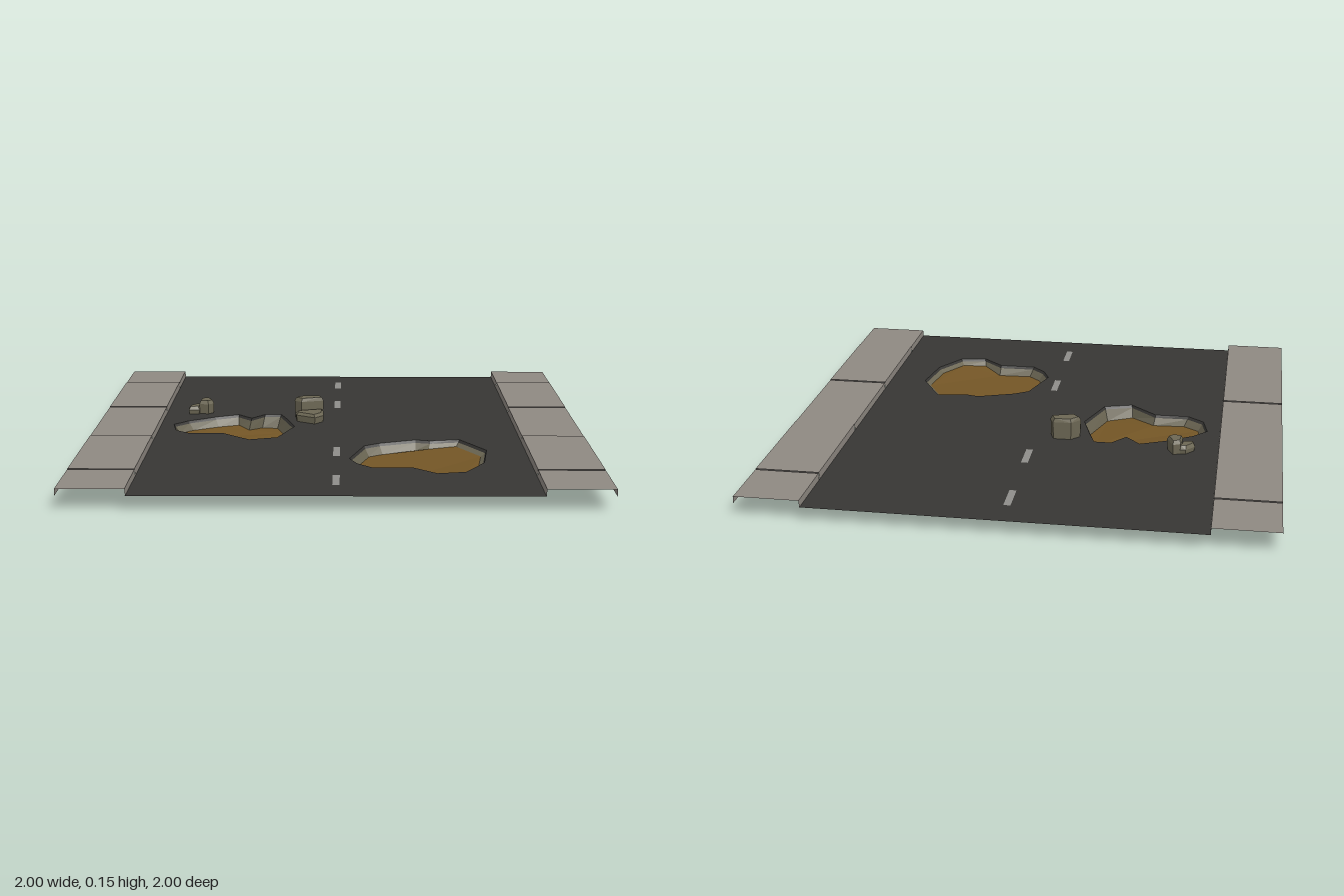
import * as THREE from 'three';
import { ConvexGeometry } from 'three/addons/geometries/ConvexGeometry.js';

const ROAD_Y = 0.062, LIP_Y = 0.051;

const mat = (color) => new THREE.MeshStandardMaterial({
  color, flatShading: true, side: THREE.DoubleSide, roughness: 1,
});

function add(parent, name, geometry, material) {
  const mesh = new THREE.Mesh(geometry, material);
  mesh.name = name;
  parent.add(mesh);
  return mesh;
}

// outline points are [x, z]; shapes are drawn in x and -z, then laid flat
const toVec = (pts) => pts.map(([x, z]) => new THREE.Vector2(x, -z));

// strip of faces between rows of [x, y, z] points
function strip(rows, closed) {
  const n = rows[0].length, index = [];
  for (let r = 0; r < rows.length - 1; r++) {
    for (let i = 0; i < (closed ? n : n - 1); i++) {
      const j = (i + 1) % n, a = r * n + i, b = r * n + j;
      index.push(a, a + n, b, b, a + n, b + n);
    }
  }
  const g = new THREE.BufferGeometry();
  g.setAttribute('position', new THREE.Float32BufferAttribute(rows.flat(2), 3));
  g.setIndex(index);
  g.computeVertexNormals();
  return g;
}

// outline pulled in towards its middle by a distance d
function inset(pts, d) {
  const cx = pts.reduce((s, p) => s + p[0], 0) / pts.length;
  const cz = pts.reduce((s, p) => s + p[1], 0) / pts.length;
  return pts.map(([x, z]) => {
    const k = 1 - d / Math.hypot(x - cx, z - cz);
    return [cx + (x - cx) * k, cz + (z - cz) * k];
  });
}

const HOLES = [
  {
    name: 'leftLanePothole',
    pts: [[-0.695, -0.04], [-0.64, -0.1], [-0.53, -0.17], [-0.43, -0.215], [-0.37, -0.15],
      [-0.315, -0.22], [-0.245, -0.22], [-0.215, -0.13], [-0.18, -0.01], [-0.245, 0.175],
      [-0.36, 0.21], [-0.47, 0.11], [-0.61, 0.11], [-0.675, 0.06]],
    floorY: (x) => 0.022 - 0.019 * THREE.MathUtils.smoothstep(x, -0.46, -0.28),
  },
  {
    name: 'rightLanePothole',
    pts: [[0.05, 0.5], [0.11, 0.31], [0.17, 0.27], [0.32, 0.215], [0.38, 0.23], [0.5, 0.21],
      [0.595, 0.375], [0.57, 0.555], [0.49, 0.685], [0.38, 0.705], [0.29, 0.625],
      [0.135, 0.625], [0.08, 0.57]],
    floorY: (x) => 0.02 + 0.018 * THREE.MathUtils.smoothstep(x, 0.28, 0.42),
  },
];

// broken chunk: flat outline raised from y0 to a smaller top
function chunk(pts, y0, shoulder, top, shrink) {
  const ring = (p, y) => p.map(([x, z]) => new THREE.Vector3(x, y, z));
  return new ConvexGeometry([
    ...ring(inset(pts, shrink * 0.4), y0), ...ring(pts, shoulder), ...ring(inset(pts, shrink), top),
  ]);
}

export function createModel() {
  const model = new THREE.Group();
  model.name = 'damagedRoad';
  const asphalt = mat(0x373634), paving = mat(0x8f8982), paint = mat(0x8f8e8a);
  const stone = mat(0x6c6754), dirt = mat(0x745626);

  // road surface with the potholes cut out
  const roadShape = new THREE.Shape(toVec([[-0.75, 1], [0.75, 1], [0.75, -1], [-0.75, -1]]));
  for (const h of HOLES) roadShape.holes.push(new THREE.Path(toVec(h.pts)));
  const roadGeo = new THREE.ShapeGeometry(roadShape).rotateX(-Math.PI / 2).translate(0, ROAD_Y, 0);
  add(model, 'roadSurface', roadGeo, asphalt);

  // potholes: dark asphalt lip, sloping wall and uneven dirt floor
  for (const { name, pts, floorY } of HOLES) {
    const hole = new THREE.Group();
    hole.name = name;
    model.add(hole);
    const at = (p, y) => p.map(([x, z]) => [x, y, z]);
    const lip = inset(pts, 0.006), base = inset(pts, 0.024);
    add(hole, 'asphaltLip', strip([at(pts, ROAD_Y), at(lip, LIP_Y)], true), asphalt);
    add(hole, 'potholeWall', strip([at(lip, LIP_Y), base.map(([x, z]) => [x, floorY(x), z])], true), stone);
    const floor = new THREE.ShapeGeometry(new THREE.Shape(toVec(base))).rotateX(-Math.PI / 2);
    const pos = floor.attributes.position;
    for (let i = 0; i < pos.count; i++) pos.setY(i, floorY(pos.getX(i)));
    floor.computeVertexNormals();
    add(hole, 'dirtFloor', floor, dirt);
  }

  // dashed centre line
  for (const z of [-0.803, -0.408, 0.398, 0.798]) {
    const dash = new THREE.PlaneGeometry(0.027, 0.133).rotateX(-Math.PI / 2);
    add(model, 'centreDash', dash, paint).position.set(0, ROAD_Y + 0.001, z);
  }

  // pavements: slabs with a kerb and outer edge, open at the ends
  const seams = [-1, -0.75, -0.25, 0.25, 0.75, 1];
  for (const side of [-1, 1]) {
    const pavement = new THREE.Group();
    pavement.name = side > 0 ? 'leftPavement' : 'rightPavement';
    model.add(pavement);
    for (let i = 0; i < seams.length - 1; i++) {
      const y = i % 2 ? 0.09 : 0.088;
      const row = (z) => [[0.748, ROAD_Y], [0.75, y], [1, y], [1, ROAD_Y]].map(([x, h]) => [side * x, h, z]);
      const z0 = seams[i] + (i ? 0.002 : 0), z1 = seams[i + 1] - (i < 4 ? 0.002 : 0);
      add(pavement, 'pavingSlab', strip([row(z0), row(z1)], false), paving);
    }
    // shallow joint under the slab gaps
    const joint = new THREE.PlaneGeometry(0.25, 1.6).rotateX(-Math.PI / 2);
    add(pavement, 'slabJoint', joint, asphalt).position.set(side * 0.875, 0.085, 0);
  }

  // loose chunks of broken road
  const chunks = [
    [[[-0.185, -0.175], [-0.15, -0.215], [-0.075, -0.215], [-0.06, -0.175], [-0.155, -0.145]], 0.052, 0.135, 0.15, 0.008],
    [[[-0.18, -0.125], [-0.155, -0.145], [-0.06, -0.165], [-0.058, -0.09], [-0.095, -0.045], [-0.175, -0.095]], 0.05, 0.09, 0.102, 0.012],
    [[[-0.655, -0.255], [-0.62, -0.295], [-0.59, -0.295], [-0.605, -0.225], [-0.65, -0.222]], 0.055, 0.08, 0.095, 0.012],
    [[[-0.6, -0.295], [-0.57, -0.31], [-0.542, -0.25], [-0.565, -0.225], [-0.605, -0.235]], 0.055, 0.105, 0.12, 0.009],
  ];
  for (const c of chunks) add(model, 'rubbleChunk', chunk(...c), stone);

  return model;
}
